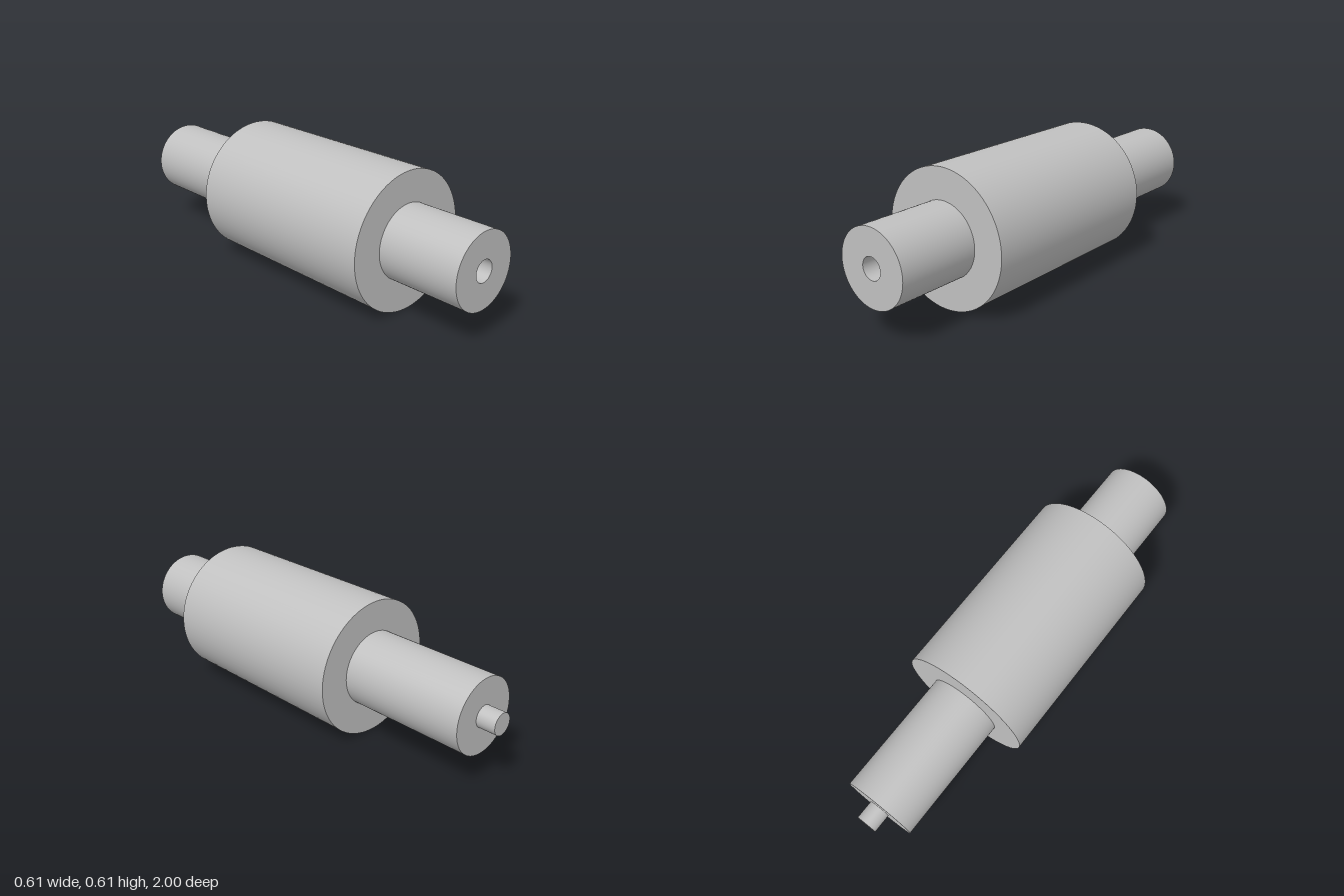
import * as THREE from 'three';
import { mergeGeometries } from 'three/addons/utils/BufferGeometryUtils.js';

const RADIUS = { drum: 0.304, shaft: 0.166, pin: 0.048 };

// Revolves a [radius, z] profile about the z axis, keeping every profile corner sharp
function revolve(profile) {
  const bands = [];
  for (let i = 0; i < profile.length - 1; i++) {
    const pair = [profile[i], profile[i + 1]].map(([r, z]) => new THREE.Vector2(r, z));
    bands.push(new THREE.LatheGeometry(pair, 96));
  }
  return mergeGeometries(bands).rotateX(Math.PI / 2);
}

export function createModel() {
  const model = new THREE.Group();
  model.name = 'roller';
  const steel = new THREE.MeshStandardMaterial({ color: 0xc0c0c0 });
  steel.name = 'grey steel';

  const { drum, shaft, pin } = RADIUS;
  // Profiles run from the back (-z) to the front (+z)
  const parts = {
    backPin: [[0, -1], [pin, -1], [pin, -0.914]],
    backShaft: [[pin, -0.914], [shaft, -0.914], [shaft, -0.335]],
    drum: [[shaft, -0.335], [drum, -0.335], [drum, 0.62], [shaft, 0.62]],
    // The front shaft ends in a blind socket that matches the pin
    frontShaft: [[shaft, 0.62], [shaft, 1], [pin, 1], [pin, 0.914], [0, 0.914]],
  };

  for (const [name, profile] of Object.entries(parts)) {
    const mesh = new THREE.Mesh(revolve(profile), steel);
    mesh.name = name;
    mesh.position.y = drum;
    model.add(mesh);
  }
  return model;
}
